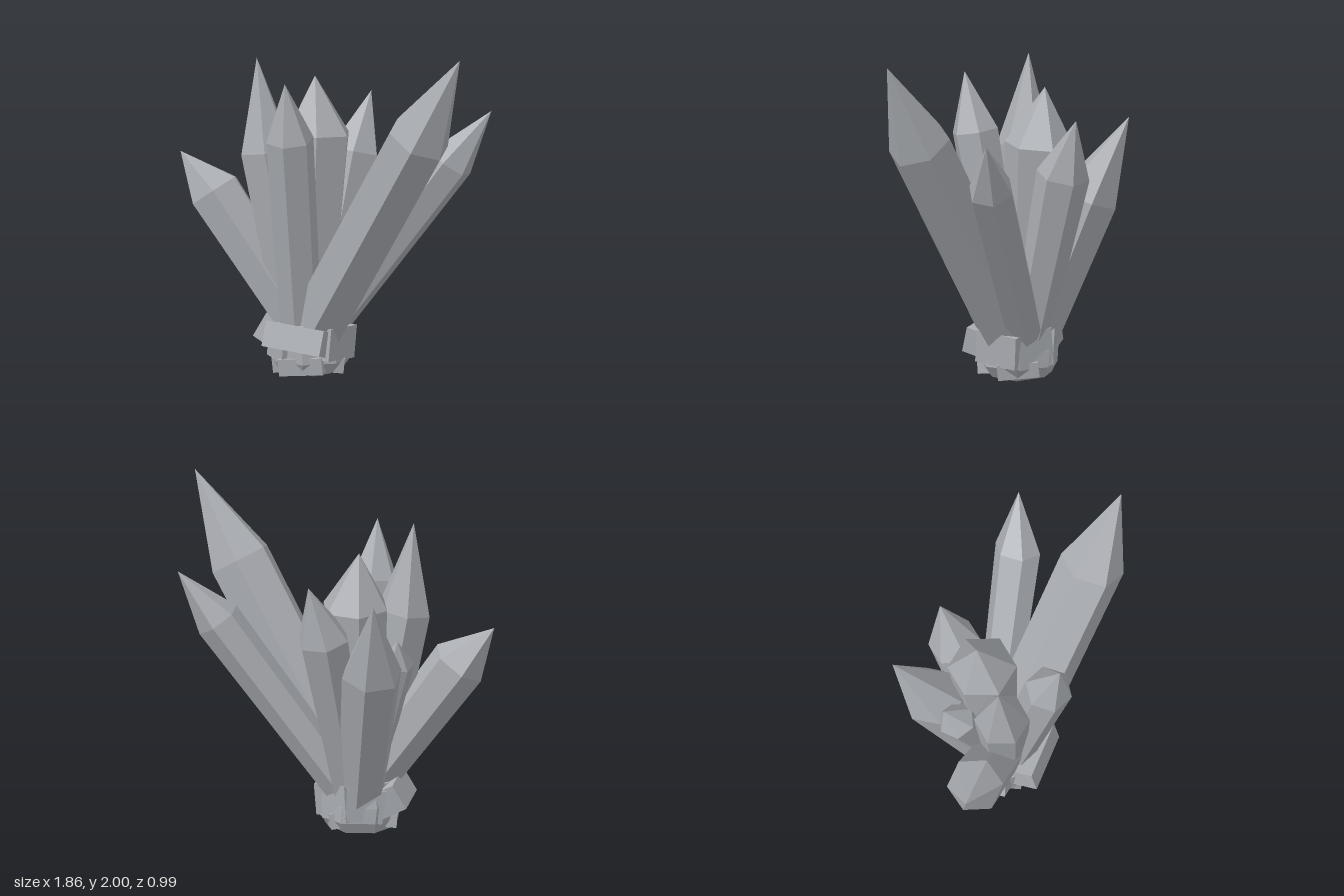
import * as THREE from 'three';

const stone = new THREE.MeshStandardMaterial({ color: 0xa9acb1, flatShading: true });
stone.name = 'grey stone';

const UP = new THREE.Vector3(0, 1, 0);

// Lofts rings of a cylinder through sections listed top to bottom: [x, y, z, radius].
function loft(name, sections, sides, turn, dir = UP) {
  const geo = new THREE.CylinderGeometry(1, 1, 1, sides, sections.length - 1, true, turn);
  const q = new THREE.Quaternion().setFromUnitVectors(UP, dir);
  const pos = geo.attributes.position;
  const v = new THREE.Vector3();
  for (let i = 0; i < pos.count; i++) {
    const [x, y, z, r] = sections[Math.floor(i / (sides + 1))];
    v.set(pos.getX(i) * r, 0, pos.getZ(i) * r).applyQuaternion(q);
    pos.setXYZ(i, v.x + x, v.y + y, v.z + z);
  }
  geo.computeVertexNormals();
  const mesh = new THREE.Mesh(geo, stone);
  mesh.name = name;
  return mesh;
}

// Six-sided crystal: pointed tip, shoulder ring, narrower foot hidden in the rock.
function crystal({ name, tip, shoulder, foot, r, rFoot, turn }) {
  const dir = new THREE.Vector3(...shoulder).sub(new THREE.Vector3(...foot)).normalize();
  const end = new THREE.Vector3(...foot).addScaledVector(dir, -0.06);
  return loft(name, [
    [...tip, 0],
    [...shoulder, r],
    [...foot, rFoot],
    [end.x, end.y, end.z, 0],
  ], 6, turn, dir);
}

const CRYSTALS = [
  { name: 'largeLeftCrystal', tip: [0.925, 2, 0.29], shoulder: [0.635, 1.5, 0.25], foot: [-0.14, 0.25, 0.1], r: 0.19, rFoot: 0.18, turn: 0.3 },
  { name: 'rightCrystal', tip: [-0.93, 1.27, 0.22], shoulder: [-0.73, 1.05, 0.18], foot: [-0.18, 0.27, 0.1], r: 0.165, rFoot: 0.14, turn: 0.5 },
  { name: 'backLeftCrystal', tip: [0.81, 1.58, -0.31], shoulder: [0.6, 1.28, -0.21], foot: [-0.12, 0.25, 0], r: 0.135, rFoot: 0.11, turn: 0.1 },
  { name: 'tallRightCrystal', tip: [-0.45, 1.86, 0.19], shoulder: [-0.395, 1.33, 0.185], foot: [-0.22, 0.25, 0.11], r: 0.16, rFoot: 0.13, turn: 0.45 },
  { name: 'frontCrystal', tip: [-0.14, 1.78, 0.43], shoulder: [-0.145, 1.44, 0.36], foot: [-0.18, 0.25, 0.15], r: 0.14, rFoot: 0.12, turn: 0.2 },
  { name: 'centreCrystal', tip: [-0.21, 1.73, -0.07], shoulder: [-0.18, 1.4, -0.05], foot: [-0.18, 0.25, 0.03], r: 0.2, rFoot: 0.13, turn: 0.45 },
  { name: 'backCrystal', tip: [-0.02, 1.6, -0.4], shoulder: [-0.07, 1.26, -0.28], foot: [-0.14, 0.25, -0.01], r: 0.155, rFoot: 0.11, turn: 0.45 },
  { name: 'backRightCrystal', tip: [-0.45, 1.56, -0.49], shoulder: [-0.36, 1.08, -0.27], foot: [-0.2, 0.25, 0], r: 0.18, rFoot: 0.14, turn: 0.15 },
  { name: 'smallRightCrystal', tip: [-0.475, 1.25, -0.15], shoulder: [-0.44, 1.1, -0.085], foot: [-0.21, 0.25, 0.03], r: 0.11, rFoot: 0.08, turn: 0 },
];

// Tilted blocks around the foot: angle, height, distance, width, tall, roll, lean
const SHARDS = [
  [0.12, 0.25, 0.18, 0.36, 0.15, -0.1, -0.25],
  [1.5, 0.22, 0.15, 0.28, 0.19, -0.08, 0.05],
  [2.6, 0.22, 0.13, 0.22, 0.22, 0.08, 0],
  [3.6, 0.22, 0.13, 0.22, 0.2, -0.12, 0.05],
  [4.75, 0.25, 0.19, 0.26, 0.16, 0.15, -0.5],
  [5.7, 0.2, 0.14, 0.18, 0.16, -0.1, 0],
  [0.25, 0.1, 0.13, 0.26, 0.1, 0.08, 0.1],
  [5.1, 0.1, 0.12, 0.24, 0.09, -0.08, 0.1],
  [2.1, 0.1, 0.12, 0.24, 0.09, 0.1, 0.1],
];

export function createModel() {
  const group = new THREE.Group();
  group.name = 'crystalCluster';
  for (const c of CRYSTALS) group.add(crystal(c));

  // Rough rock foot with a blunt, pointed underside
  group.add(loft('rockFoot', [
    [-0.17, 0.36, 0.08, 0],
    [-0.17, 0.33, 0.08, 0.21],
    [-0.17, 0.2, 0.08, 0.23],
    [-0.16, 0.11, 0.08, 0.23],
    [-0.17, 0.045, 0.08, 0.19],
    [-0.14, 0, 0.08, 0],
  ], 7, 0.3));

  for (const [angle, y, distance, w, h, roll, lean] of SHARDS) {
    const shard = new THREE.Mesh(new THREE.BoxGeometry(w, h, 0.16), stone);
    shard.name = 'rockShard';
    shard.position.set(-0.17 + Math.sin(angle) * distance, y, 0.08 + Math.cos(angle) * distance);
    shard.rotation.set(lean, angle, roll, 'YXZ');
    group.add(shard);
  }
  return group;
}
